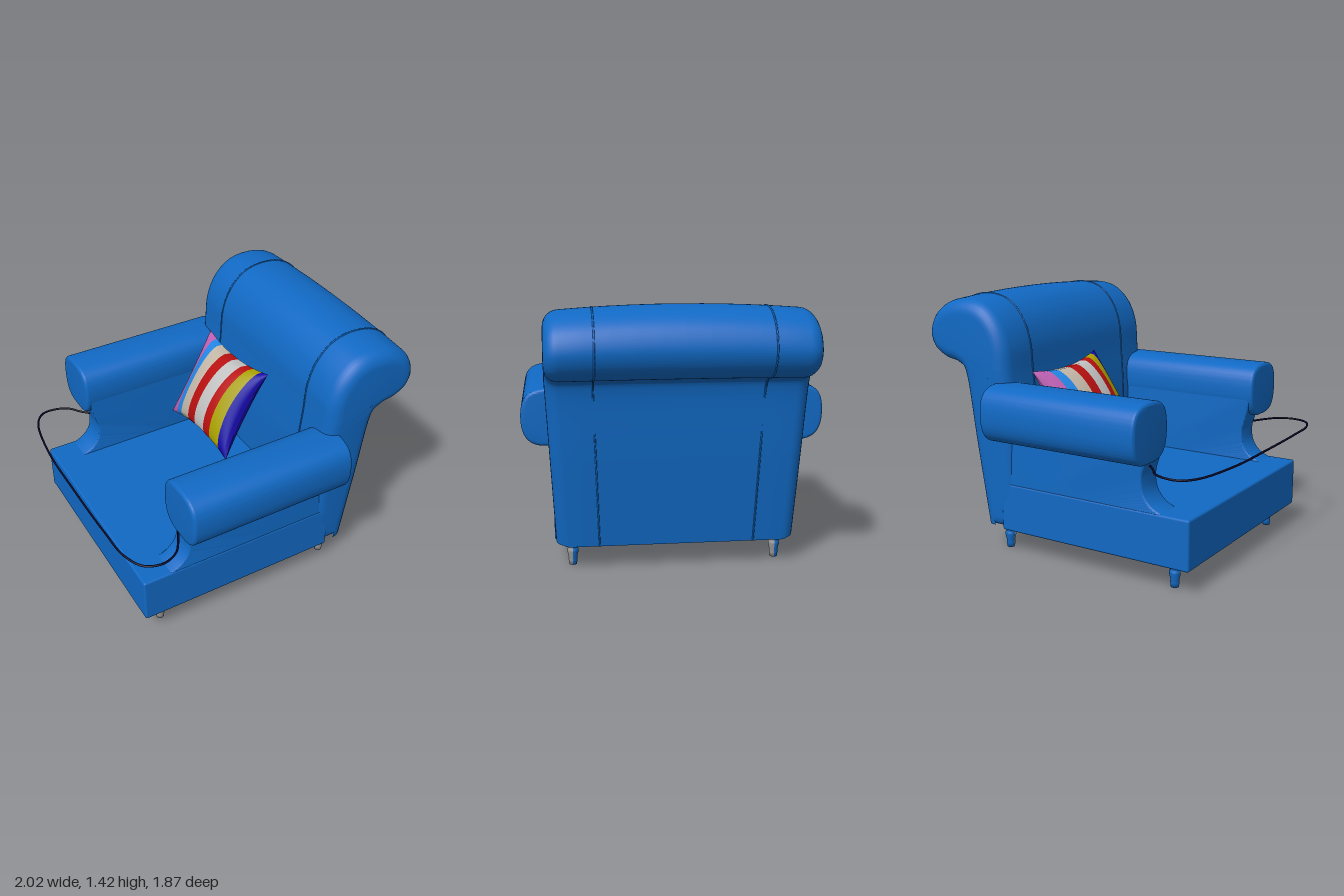
import * as THREE from 'three';
import { mergeVertices, mergeGeometries, toCreasedNormals } from 'three/addons/utils/BufferGeometryUtils.js';
import { RoundedBoxGeometry } from 'three/addons/geometries/RoundedBoxGeometry.js';

const mat = (name, color) => {
  const m = new THREE.MeshStandardMaterial({ color });
  m.name = name;
  return m;
};
const V2 = (p) => new THREE.Vector2(p[0], p[1]);

export function createModel() {
  const M = {
    blue: mat('upholstery blue', 0x1169c4),
    grey: mat('leg grey', 0x959595),
    cord: mat('cord dark navy', 0x08082a),
    pink: mat('pillow pink', 0xc060b4),
    sky: mat('pillow light blue', 0x2288e8),
    cream: mat('pillow cream', 0xc4b8a8),
    white: mat('pillow white', 0xc2c2c2),
    red: mat('pillow red', 0xb81010),
    yellow: mat('pillow yellow', 0xa8a000),
    navy: mat('pillow navy', 0x1408a4),
  };
  const root = new THREE.Group();
  root.name = 'armchairWithPillow';

  // The chair is built facing local +z, then turned on the spot
  const TURN = -1.242;
  const chair = new THREE.Group();
  chair.name = 'armchair';
  chair.rotation.y = TURN;
  chair.position.set(-0.011, 0, -0.033);
  root.add(chair);

  const add = (parent, name, geo, material) => {
    const mesh = new THREE.Mesh(geo, material);
    mesh.name = name;
    parent.add(mesh);
    return mesh;
  };
  const smooth = (geo, angle = 0.6) => {
    geo.deleteAttribute('normal');
    geo.deleteAttribute('uv');
    return toCreasedNormals(mergeVertices(geo, 1e-4), angle);
  };
  // Extrudes a shape to a total depth, with rounded edges kept inside the outline
  const padded = (shape, depth, bevel, steps = 1) => {
    const geo = new THREE.ExtrudeGeometry(shape, {
      depth: depth - 2 * bevel, steps, curveSegments: 32,
      bevelEnabled: true, bevelSize: bevel, bevelOffset: -bevel, bevelThickness: bevel, bevelSegments: 6,
    });
    return geo.translate(0, 0, -(depth - 2 * bevel) / 2);
  };

  // Seat base
  const base = add(chair, 'seatBase', new RoundedBoxGeometry(1.3, 0.27, 1.17, 3, 0.012), M.blue);
  base.position.set(0, 0.265, 0.185);

  // Backrest: side profile with a rolled top
  const rollPoints = [
    [-0.3, 0.4], [-0.305, 0.75], [-0.325, 1.0], [-0.34, 1.17], [-0.39, 1.3], [-0.48, 1.39], [-0.6, 1.42],
    [-0.73, 1.4], [-0.83, 1.33], [-0.872, 1.22], [-0.84, 1.12], [-0.76, 1.065], [-0.67, 1.04],
    [-0.625, 0.97], [-0.585, 0.6], [-0.53, 0.13],
  ].map(V2);
  const profile = new THREE.Shape();
  profile.moveTo(-0.3, 0.13);
  profile.lineTo(-0.3, 0.4);
  profile.splineThru(rollPoints.slice(1));
  profile.closePath();

  // Narrows the back toward the floor and crowns its top
  const shapeBack = (x, y) => {
    const half = 0.93 + 0.07 * Math.min(1, (y - 0.13) / 0.9);
    const crown = 0.03 * THREE.MathUtils.smoothstep(y, 0.95, 1.4) * (x / 0.69) ** 2;
    return [x * half, y - crown];
  };
  const back = padded(profile, 1.38, 0.075, 10).rotateY(-Math.PI / 2);
  const bp = back.attributes.position;
  for (let i = 0; i < bp.count; i++) {
    const [x, y] = shapeBack(bp.getX(i), bp.getY(i));
    bp.setXY(i, x, y);
  }
  add(chair, 'backrest', smooth(back, 0.7), M.blue);

  // Seams running over the back
  for (const side of [-1, 1]) {
    const pts = rollPoints.map((p) => {
      const [x, y] = shapeBack(side * 0.445, p.y);
      return new THREE.Vector3(x, y, p.x);
    });
    add(chair, 'backSeam', new THREE.TubeGeometry(new THREE.CatmullRomCurve3(pts), 90, 0.005, 6), M.blue);
  }

  // Arm roll cross-section
  const roll = new THREE.Shape();
  roll.moveTo(0, 0.155);
  roll.bezierCurveTo(0.12, 0.155, 0.165, 0.12, 0.165, 0.0);
  roll.bezierCurveTo(0.165, -0.11, 0.12, -0.155, 0.03, -0.155);
  roll.lineTo(-0.03, -0.155);
  roll.bezierCurveTo(-0.12, -0.155, -0.165, -0.11, -0.165, 0.0);
  roll.bezierCurveTo(-0.165, 0.12, -0.12, 0.155, 0, 0.155);

  // Arm panel: side profile with a hollow front edge flaring onto the seat
  const panel = new THREE.Shape();
  panel.moveTo(-0.45, 0.2);
  panel.lineTo(0.62, 0.2);
  panel.lineTo(0.62, 0.395);
  panel.splineThru([[0.55, 0.43], [0.505, 0.49], [0.495, 0.57], [0.515, 0.65], [0.535, 0.74]].map(V2));
  panel.lineTo(0.5, 0.82);
  panel.lineTo(-0.45, 0.82);
  panel.closePath();

  const greyStart = 0.3 - TURN - Math.PI / 2;
  const legProfile = [[0, 0], [0.021, 0], [0.024, 0.025], [0.023, 0.04], [0.031, 0.075], [0.029, 0.088],
    [0.022, 0.094], [0.03, 0.104], [0.031, 0.14]].map(V2);

  for (const side of [-1, 1]) {
    const arm = new THREE.Group();
    arm.name = side > 0 ? 'leftArm' : 'rightArm';
    chair.add(arm);
    const armRoll = add(arm, 'armRoll', smooth(padded(roll, 0.955, 0.018)), M.blue);
    armRoll.position.set(side * 0.652, 0.808, 0.078);
    const armPanel = add(arm, 'armPanel', smooth(padded(panel, 0.155, 0.012).rotateY(-Math.PI / 2)), M.blue);
    armPanel.position.x = side * 0.568;

    // Turned legs, two-toned
    for (const z of [0.643, -0.422]) {
      const leg = new THREE.Group();
      leg.name = z > 0 ? 'frontLeg' : 'backLeg';
      leg.position.set(side * 0.555, 0, z);
      chair.add(leg);
      add(leg, 'legGreyHalf', new THREE.LatheGeometry(legProfile, 12, greyStart, Math.PI), M.grey);
      add(leg, 'legBlueHalf', new THREE.LatheGeometry(legProfile, 12, greyStart + Math.PI, Math.PI), M.blue);
    }
  }

  // Striped pillow: each stripe is a slice of one cushion form
  const pillow = new THREE.Group();
  pillow.name = 'pillow';
  pillow.position.set(-0.175, 0.785, -0.15);
  pillow.rotation.set(-0.55, 0, 0.06);
  chair.add(pillow);
  const stripes = [
    ['pink', -1, -0.74], ['sky', -0.74, -0.55], ['cream', -0.55, -0.24], ['red', -0.24, 0.02],
    ['white', 0.02, 0.34], ['red', 0.34, 0.54], ['yellow', 0.54, 0.8], ['navy', 0.8, 1],
  ];
  const cushionPoint = (u, v) => new THREE.Vector3(
    0.31 * u * (0.87 + 0.13 * v * v),
    0.28 * v * (0.87 + 0.13 * u * u),
    0.115 * Math.pow(Math.max(0, (1 - u * u) * (1 - v * v)), 0.5),
  );
  for (const [color, u0, u1] of stripes) {
    const front = new THREE.PlaneGeometry(2, 2, 8, 28);
    const p = front.attributes.position;
    for (let i = 0; i < p.count; i++) {
      const v = p.getY(i);
      const s = u0 + (u1 - u0) * (p.getX(i) + 1) / 2;
      const c = cushionPoint(s + 0.08 * v * (1 - s * s), v);
      p.setXYZ(i, c.x, c.y, c.z);
    }
    front.computeVertexNormals();
    const rear = front.clone().rotateX(Math.PI);
    add(pillow, color + 'Stripe', mergeGeometries([front, rear]), M[color]);
  }

  // Cord looping level from arm to arm in front of the seat
  const cord = [
    [-0.68, -0.42], [-0.74, -0.45], [-0.8, -0.49], [-0.88, -0.5], [-0.96, -0.47], [-0.993, -0.38], [-0.95, -0.1],
    [-0.83, 0.27], [-0.7, 0.63], [-0.62, 0.82], [-0.53, 0.91], [-0.43, 0.91], [-0.36, 0.85], [-0.335, 0.77], [-0.32, 0.68],
  ].map(([x, z]) => new THREE.Vector3(x, 0.62, z));
  add(root, 'cord', new THREE.TubeGeometry(new THREE.CatmullRomCurve3(cord), 120, 0.006, 8), M.cord);

  return root;
}
